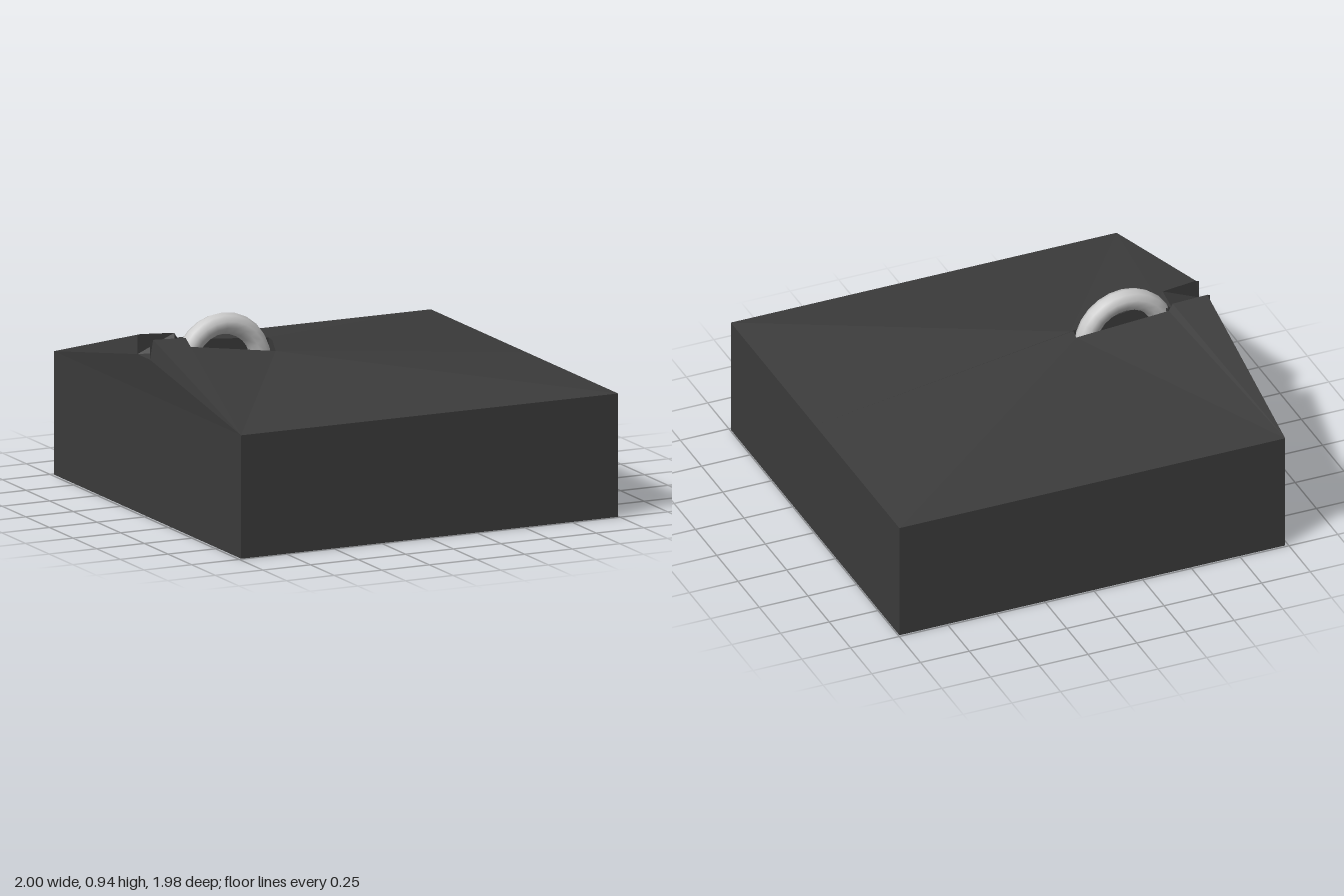
import * as THREE from 'three';

// Faceted mesh from named corner points; every face is a fan of point names
function faceted(name, points, faces, material) {
  const pos = [];
  for (const face of faces) {
    const p = face.split(' ').map((k) => points[k]);
    for (let i = 1; i < p.length - 1; i++) pos.push(...p[0], ...p[i], ...p[i + 1]);
  }
  const geo = new THREE.BufferGeometry();
  geo.setAttribute('position', new THREE.Float32BufferAttribute(pos, 3));
  geo.computeVertexNormals();
  const mesh = new THREE.Mesh(geo, material);
  mesh.name = name;
  return mesh;
}

export function createModel() {
  const model = new THREE.Group();
  model.name = 'weightBlock';
  const dark = new THREE.MeshStandardMaterial({ color: 0x3c3c3c, flatShading: true, side: THREE.DoubleSide });
  const grey = new THREE.MeshStandardMaterial({ color: 0xcccccc });

  const L = -0.985, R = 0.995, Z = 0.99, H = 0.595;
  const floor = 0.6;
  const points = {
    // base rectangle and rim of the roof
    f0: [L, 0, Z], f1: [R, 0, Z], b0: [L, 0, -Z], b1: [R, 0, -Z],
    F0: [L, H, Z], F1: [R, H, Z], B0: [L, H, -Z], B1: [R, H, -Z], E: [R, H, 0],
    // ridges on both sides of the slot, from the left end to the right
    fa: [L, 0.865, 0.06], fb: [-0.81, 0.855, 0.05], fc: [-0.79, 0.81, 0.053], fd: [-0.34, 0.745, 0.058],
    ba: [L, 0.865, -0.075], bb: [-0.81, 0.855, -0.068], bc: [-0.79, 0.82, -0.068], bd: [-0.32, 0.785, -0.058],
    s: [-0.33, 0.785, 0],
    // notch floor at the left end
    nf: [-1, 0.77, 0.058], nb: [-1, 0.77, -0.075], n: [-0.84, 0.78, 0],
    tf: [-1, 0.86, 0.058], tb: [-1, 0.86, -0.075],
    // bottom of the slot
    pf: [-0.79, floor, 0.053], pb: [-0.79, floor, -0.068], qf: [-0.34, floor, 0.058], qb: [-0.32, floor, -0.058],
  };

  // Base walls and underside, with the gable at the left end
  model.add(faceted('base', points, [
    'f0 f1 F1 F0', 'b1 b0 B0 B1', 'f1 b1 B1 E F1', 'b0 b1 f1 f0',
    'b0 f0 F0 B0', 'B0 F0 nf nb', 'F0 fa nf', 'B0 nb ba',
  ], dark));

  // Sloping roof planes, stepped along the centre seam
  model.add(faceted('roof', points, [
    'F0 fb fa', 'F0 fc fb', 'F0 fd fc', 'F0 F1 fd', 'F1 E fd',
    'B0 ba bb', 'B0 bb bc', 'B0 bc bd', 'B0 bd B1', 'B1 bd s E', 'fd E s',
  ], dark));

  // Notch at the left end of the ridge, with its small lip
  model.add(faceted('endNotch', points, [
    'nf n nb', 'nf fa fb n', 'nb n bb ba', 'n fb fc', 'n bc bb', 'n fc bc',
    'nf tf fa', 'nb ba tb',
  ], dark));

  // Slot that holds the ring
  model.add(faceted('ringSlot', points, [
    'pf qf qb pb', 'pf fc fd qf', 'pb qb bd bc', 'pf pb bc fc', 'qf fd s bd qb',
  ], dark));

  // Lifting ring, half sunk into the slot
  const ring = new THREE.Mesh(new THREE.TorusGeometry(0.198, 0.052, 10, 24), grey);
  ring.name = 'liftingRing';
  ring.position.set(-0.59, 0.695, 0);
  model.add(ring);

  return model;
}
